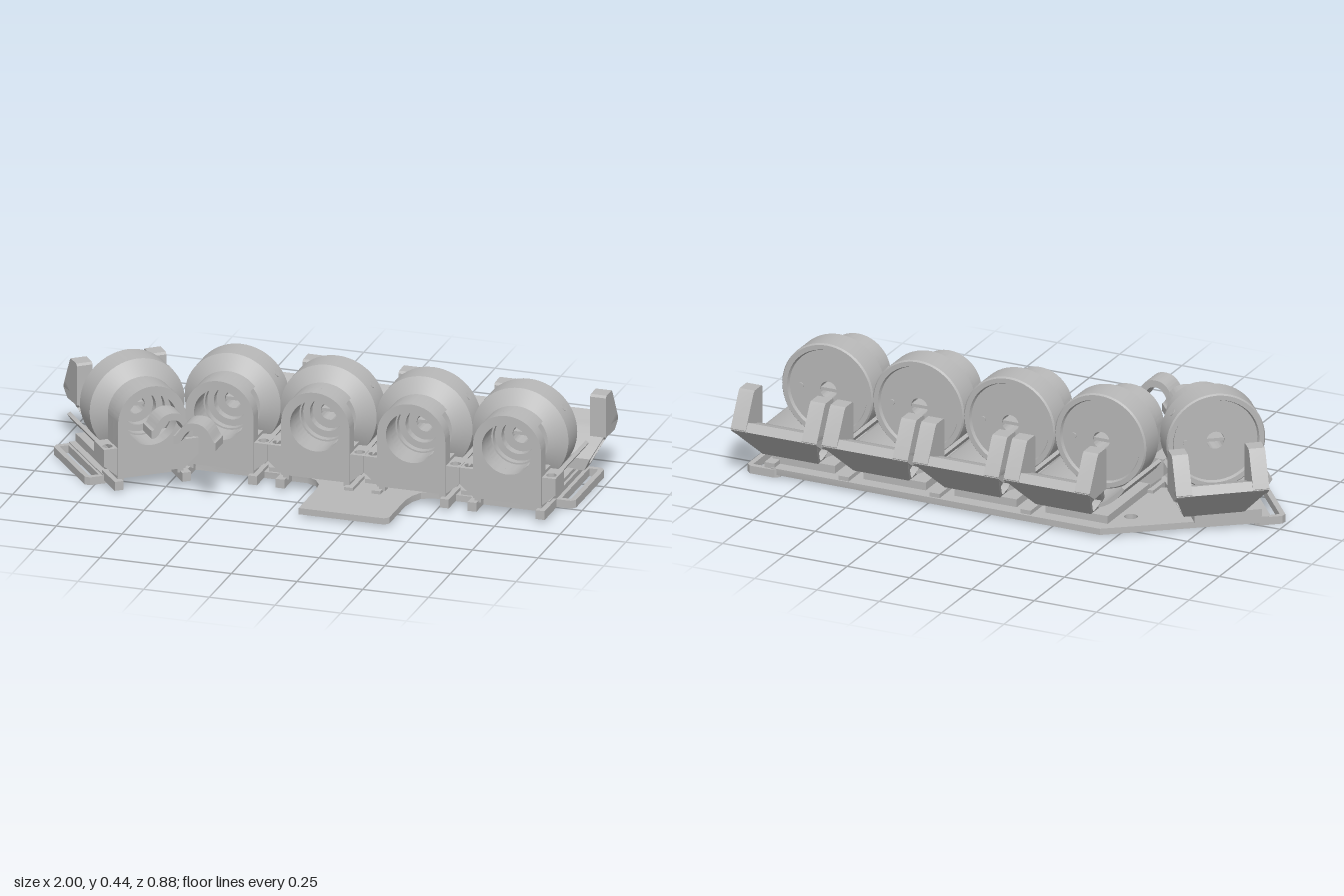
import * as THREE from 'three';
import { toCreasedNormals } from 'three/addons/utils/BufferGeometryUtils.js';

const grey = new THREE.MeshStandardMaterial({ color: 0xb8b8b8 });
grey.name = 'grey plastic';
const AXIS_Y = 0.262;

function part(name, geometry, parent) {
  const mesh = new THREE.Mesh(toCreasedNormals(geometry, 0.6), grey);
  mesh.name = name;
  parent.add(mesh);
  return mesh;
}

const outline = (pts, Type = THREE.Shape) => new Type(pts.map(p => new THREE.Vector2(...p)));

// Prism along z from a front outline
function prismZ(shape, z0, z1) {
  return new THREE.ExtrudeGeometry(shape, { depth: z1 - z0, bevelEnabled: false, curveSegments: 28 }).translate(0, 0, z0);
}

// Prism along x from a side outline given as (z, y)
function prismX(shape, x0, x1) {
  return new THREE.ExtrudeGeometry(shape, { depth: x1 - x0, bevelEnabled: false }).rotateY(-Math.PI / 2).translate(x1, 0, 0);
}

// Flat slab from a plan outline given as (x, -z)
function slab(shape, y0, y1) {
  return new THREE.ExtrudeGeometry(shape, { depth: y1 - y0, bevelEnabled: false }).rotateX(-Math.PI / 2).translate(0, y0, 0);
}

// Move every vertex by a rule
function reshape(geometry, rule) {
  const p = geometry.attributes.position, v = new THREE.Vector3();
  for (let i = 0; i < p.count; i++) {
    rule(v.fromBufferAttribute(p, i));
    p.setXYZ(i, v.x, v.y, v.z);
  }
  return geometry;
}

function box(name, x0, x1, y0, y1, z0, z1, parent) {
  return part(name, new THREE.BoxGeometry(x1 - x0, y1 - y0, z1 - z0)
    .translate((x0 + x1) / 2, (y0 + y1) / 2, (z0 + z1) / 2), parent);
}

// One roller holder: drum, ring mount, trough and rear hooks
function holder(name) {
  const g = new THREE.Group();
  g.name = name;

  // Drum with stepped front recess and rimmed back
  const profile = [[0.033, -0.095], [0.155, -0.095], [0.16, -0.107], [0.178, -0.107], [0.183, -0.1], [0.183, 0],
    [0.12, 0.045], [0.09, 0.045], [0.09, 0.02], [0.065, 0.02], [0.065, -0.01], [0.033, -0.01], [0.033, -0.095]];
  part('drum', new THREE.LatheGeometry(profile.map(p => new THREE.Vector2(...p)), 56)
    .rotateX(Math.PI / 2).translate(0, AXIS_Y, 0), g);
  box('drumCrossbar', -0.036, 0.036, AXIS_Y - 0.006, AXIS_Y + 0.006, -0.09, -0.02, g);
  part('drumPin', new THREE.CylinderGeometry(0.014, 0.014, 0.004, 16)
    .rotateZ(-0.95).translate(0.149, AXIS_Y + 0.106, -0.052), g);
  part('backPin', new THREE.CylinderGeometry(0.011, 0.011, 0.006, 16)
    .rotateX(Math.PI / 2).translate(0.11, AXIS_Y, -0.097), g);

  // Front ring mount: full arch in front
  const arch = new THREE.Shape();
  arch.moveTo(-0.13, 0.06);
  arch.lineTo(0.13, 0.06);
  arch.lineTo(0.13, AXIS_Y);
  arch.absarc(0, AXIS_Y, 0.13, 0, Math.PI, false);
  arch.holes.push(new THREE.Path().absarc(0, AXIS_Y, 0.096, 0, Math.PI * 2, true));
  part('ringMount', prismZ(arch, 0.1, 0.152), g);

  // Rear of the ring mount, cut open on one side
  const cutArch = new THREE.Shape();
  cutArch.moveTo(-0.13, 0.06);
  cutArch.lineTo(0.13, 0.06);
  cutArch.lineTo(0.13, 0.18);
  cutArch.absarc(0, AXIS_Y, 0.096, -1.02, 1.04 - Math.PI * 2, true);
  cutArch.absarc(0, AXIS_Y, 0.13, 0.69, Math.PI, false);
  part('ringMountRear', prismZ(cutArch, 0.045, 0.1), g);

  // Drilled shoulders with sloping undersides, and clips below them
  for (const s of [-1, 1]) {
    const near = s * 0.13, far = s * 0.182;
    const shoulder = outline([[near, -0.145], [far, -0.145], [far, -0.045], [near, -0.045]]);
    shoulder.holes.push(new THREE.Path().absarc(s * 0.156, -0.112, 0.019, 0, Math.PI * 2, true));
    part('shoulder', reshape(slab(shoulder, 0.06, 0.168), v => {
      v.y = Math.max(v.y, 0.06 + (Math.abs(v.x) - 0.13) * 0.85);
    }), g);
    box('frontClip', s * 0.13 - 0.017, s * 0.13 + 0.017, 0.012, 0.046, 0.03, 0.163, g);
    box('clipPost', s * 0.115 - 0.012, s * 0.115 + 0.012, 0.04, 0.065, 0.05, 0.14, g);
  }

  // Trough: a shell concentric with the drum
  const trough = new THREE.Shape();
  trough.absarc(0, AXIS_Y, 0.201, Math.PI + 0.53, Math.PI * 2 - 0.53, false);
  trough.absarc(0, AXIS_Y, 0.187, Math.PI * 2 - 0.53, Math.PI + 0.53, true);
  part('trough', prismZ(trough, -0.26, 0.05), g);

  // Rear tray with a slot across it, narrowing towards the bottom
  const tray = outline([[-0.235, 0.06], [-0.235, 0.105], [-0.325, 0.192], [-0.355, 0.2], [-0.42, 0.225], [-0.44, 0.195], [-0.3, 0.06]]);
  tray.holes.push(outline([[-0.255, 0.1], [-0.265, 0.08], [-0.285, 0.068], [-0.302, 0.075], [-0.368, 0.135], [-0.335, 0.178]], THREE.Path));
  part('rearTray', reshape(prismX(tray, -0.12, 0.225), v => {
    v.x = 0.0525 + (v.x - 0.0525) * Math.min(1, 0.65 + 2.7 * (v.y - 0.06));
  }), g);

  // Rear hooks
  const hook = outline([[-0.3, 0.17], [-0.3, 0.322], [-0.308, 0.33], [-0.365, 0.33], [-0.375, 0.32], [-0.44, 0.2], [-0.436, 0.19], [-0.4, 0.165]]);
  for (const x of [-0.12, 0.165]) part('rearHook', prismX(hook, x, x + 0.06), g);

  // Foot joining the holder to the base
  box('foot', -0.125, 0.125, 0.03, 0.064, -0.3, 0.06, g);
  return g;
}

// Strap loop with a long slot; x runs from x0 to x1
function strapLoop(x0, x1, slot0, slot1, parent) {
  const loop = outline([[x0, -0.035], [x0 + 0.015, -0.05], [x1 - 0.015, -0.05], [x1, -0.035],
    [x1, 0.285], [x1 - 0.015, 0.3], [x0 + 0.015, 0.3], [x0, 0.285]]);
  loop.holes.push(outline([[slot0, -0.03], [slot0, 0.28], [slot1, 0.28], [slot1, -0.03]], THREE.Path));
  return part('strapLoop', slab(loop, 0, 0.03), parent);
}

// Loose curved ribbon clip
function ribbonClip(x, z, angle, parent) {
  const s = new THREE.Shape();
  s.moveTo(-0.08, 0.245);
  s.bezierCurveTo(-0.04, 0.235, -0.05, 0.305, 0, 0.305);
  s.bezierCurveTo(0.05, 0.305, 0.04, 0.235, 0.08, 0.235);
  s.lineTo(0.08, 0.265);
  s.bezierCurveTo(0.06, 0.27, 0.06, 0.332, 0, 0.332);
  s.bezierCurveTo(-0.06, 0.332, -0.06, 0.27, -0.08, 0.275);
  const clip = part('ribbonClip', prismZ(s, -0.043, 0.043), parent);
  clip.position.set(x, 0, z);
  clip.rotation.y = angle;
}

export function createModel() {
  const model = new THREE.Group();
  model.name = 'rollerRack';

  // Straight row of four holders
  for (let i = 0; i < 4; i++) {
    const h = holder('straightHolder');
    h.position.x = -0.33 + i * 0.365;
    model.add(h);
  }

  // Turned holder at the right end, with its strap loop
  const turned = holder('turnedHolder');
  turned.position.set(-0.64, 0, 0.16);
  turned.rotation.y = 0.68;
  strapLoop(-0.215, -0.1, -0.195, -0.16, turned);
  model.add(turned);

  // Strap loop at the left end
  strapLoop(0.84, 0.97, 0.915, 0.95, model).position.z = -0.055;

  // Base plate with a front tab
  const base = outline([[-0.726, -0.293], [-0.492, -0.105], [-0.43, -0.08], [-0.02, -0.08], [0.02, -0.1], [0.045, -0.14],
    [0.05, -0.19], [0.05, -0.385], [0.375, -0.385], [0.39, -0.37], [0.39, -0.19], [0.4, -0.14], [0.42, -0.1], [0.46, -0.08],
    [0.9, -0.08], [0.9, 0.33], [0.87, 0.35], [-0.45, 0.355], [-0.946, -0.02]]);
  base.holes.push(new THREE.Path().absarc(-0.5, 0.2, 0.025, 0, Math.PI * 2, true));
  part('basePlate', slab(base, 0.01, 0.034), model);

  // Cross ribs on the base between holders
  for (let i = 0; i < 4; i++) {
    const x = Math.min(-0.1475 + i * 0.365, 0.88);
    box('baseRib', x - 0.02, x + 0.02, 0.03, 0.05, -0.345, 0.07, model);
  }

  // Loose clips in front
  ribbonClip(-0.33, 0.392, 0, model);
  ribbonClip(-0.465, 0.33, 0.68, model);
  return model;
}
